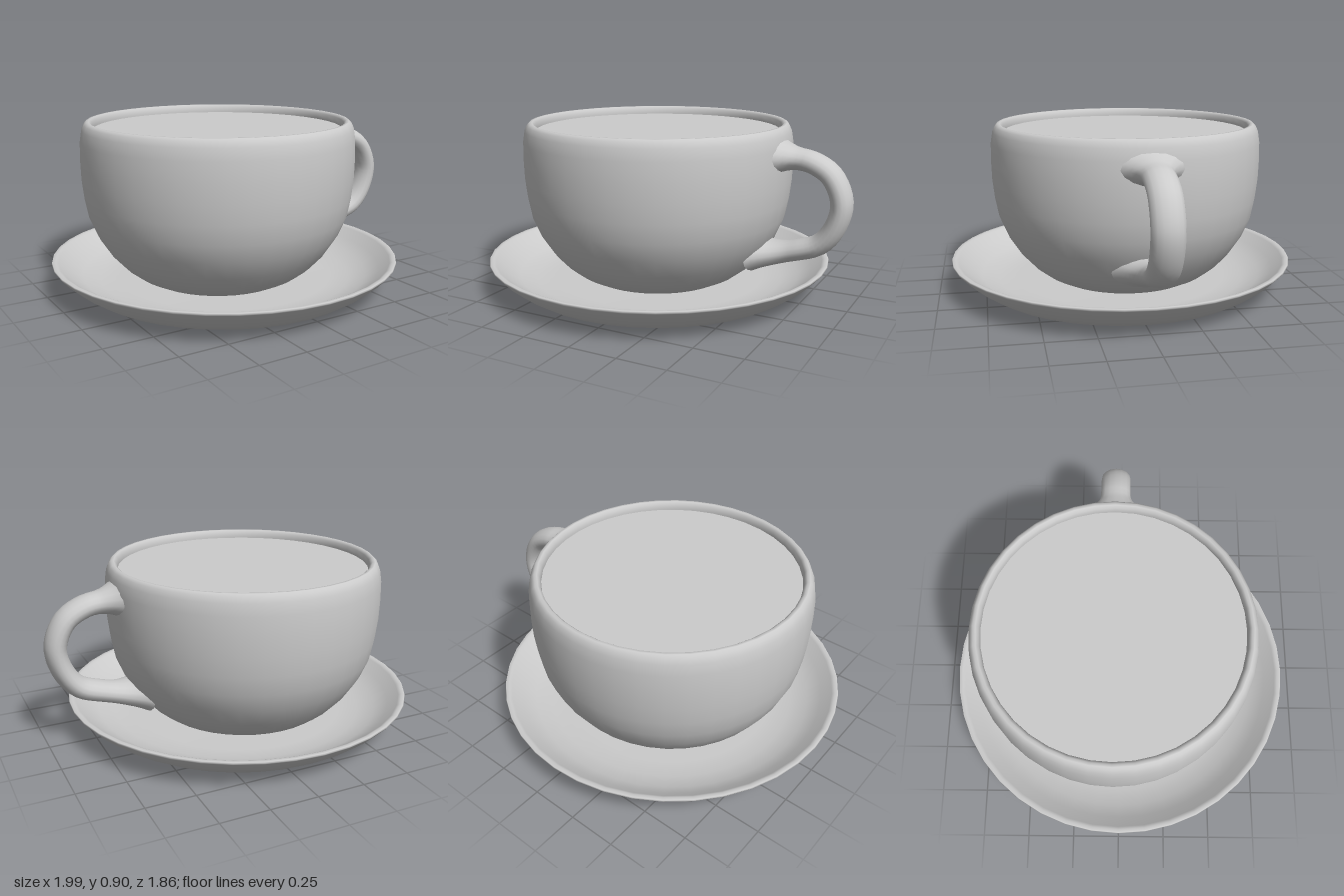
import * as THREE from 'three';
import { ParametricGeometry } from 'three/addons/geometries/ParametricGeometry.js';

const grey = new THREE.MeshStandardMaterial({ color: 0xcccccc });

function part(name, geometry, x, y, z) {
  const mesh = new THREE.Mesh(geometry, grey);
  mesh.name = name;
  mesh.position.set(x, y, z);
  return mesh;
}

// Profiles run from the underside outward, over the rim and back to the axis
const lathe = (points, sides) =>
  new THREE.LatheGeometry(points.map(([r, y]) => new THREE.Vector2(r, y)), sides);

export function createModel() {
  const model = new THREE.Group();
  model.name = 'cupAndSaucer';
  const cupX = -0.09, cupZ = -0.03;

  // Saucer: shallow dish with a thin rim
  model.add(part('saucer', lathe([
    [0, 0], [0.58, 0], [0.66, 0.005], [0.76, 0.025], [0.83, 0.07], [0.89, 0.12],
    [0.925, 0.158], [0.93, 0.165], [0.928, 0.172], [0.91, 0.172], [0.895, 0.165],
    [0.84, 0.12], [0.77, 0.08], [0.68, 0.055], [0.57, 0.045], [0, 0.045],
  ], 40), -0.07, 0, 0));

  // Cup: rounded bowl with a thick wall
  model.add(part('cup', lathe([
    [0, 0.04], [0.38, 0.04], [0.46, 0.08], [0.525, 0.13], [0.59, 0.2], [0.655, 0.3],
    [0.697, 0.4], [0.716, 0.5], [0.727, 0.6], [0.73, 0.7], [0.728, 0.8], [0.718, 0.86],
    [0.705, 0.888], [0.692, 0.9], [0.678, 0.9], [0.665, 0.888], [0.66, 0.86],
    [0.66, 0.7], [0.63, 0.4], [0.53, 0.22], [0.4, 0.11], [0, 0.1],
  ], 40), cupX, 0, cupZ));

  // Drink: flat disc just below the rim
  const drink = part('drink', new THREE.CircleGeometry(0.662, 40), cupX, 0.855, cupZ);
  drink.rotation.x = -Math.PI / 2;
  model.add(drink);

  // Handle: oval section swept along a loop, flaring where it meets the cup
  const path = new THREE.CatmullRomCurve3([
    [0.6, 0.76], [0.68, 0.755], [0.78, 0.74], [0.88, 0.68], [0.937, 0.55],
    [0.908, 0.42], [0.835, 0.325], [0.72, 0.28], [0.6, 0.252], [0.49, 0.24],
  ].map(([x, y]) => new THREE.Vector3(x, y, 0)));
  const sweep = (u, v, target) => {
    const p = path.getPointAt(v), t = path.getTangentAt(v);
    const angle = u * Math.PI * 2;
    const flare = Math.max(0, 1 - v / 0.13, 1 - (1 - v) / 0.2) ** 2;
    const depth = (0.055 + 0.04 * flare) * Math.cos(angle);
    const width = (0.08 + 0.1 * flare) * Math.sin(angle);
    target.set(p.x - t.y * depth, p.y + t.x * depth, width);
  };
  model.add(part('handle', new ParametricGeometry(sweep, 16, 36), 0, 0, cupZ));

  return model;
}
